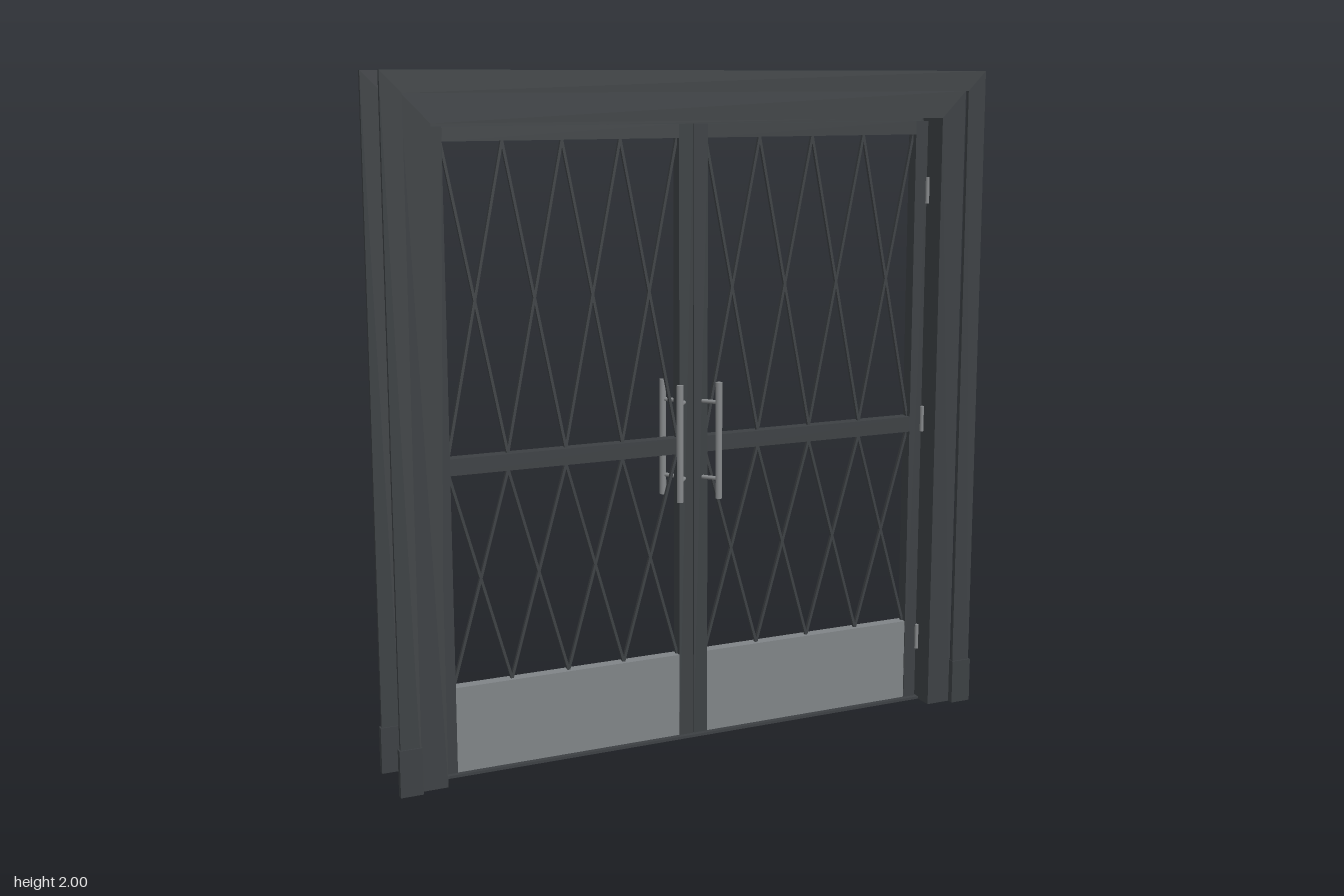
import * as THREE from 'three';

const DARK = new THREE.MeshStandardMaterial({ color: 0x3c4043 });
const STEEL = new THREE.MeshStandardMaterial({ color: 0x85888a });
const PANEL = new THREE.MeshStandardMaterial({ color: 0x808487 });

function add(parent, name, geometry, material) {
  const mesh = new THREE.Mesh(geometry, material);
  mesh.name = name;
  parent.add(mesh);
  return mesh;
}

// Box given by its extents
function box(parent, name, [x0, x1], [y0, y1], [z0, z1], material = DARK) {
  const mesh = add(parent, name, new THREE.BoxGeometry(Math.abs(x1 - x0), y1 - y0, z1 - z0), material);
  mesh.position.set((x0 + x1) / 2, (y0 + y1) / 2, (z0 + z1) / 2);
  return mesh;
}

// Three-sided door surround, open at the floor
function portal(parent, name, outerX, outerY, innerX, innerY, z0, z1) {
  const shape = new THREE.Shape([
    [-outerX, 0], [-innerX, 0], [-innerX, innerY], [innerX, innerY],
    [innerX, 0], [outerX, 0], [outerX, outerY], [-outerX, outerY],
  ].map(([x, y]) => new THREE.Vector2(x, y)));
  const geometry = new THREE.ExtrudeGeometry(shape, { depth: z1 - z0, bevelEnabled: false });
  geometry.translate(0, 0, z0);
  return add(parent, name, geometry, DARK);
}

// Round rod between two points
function rod(parent, name, a, b, radius) {
  const from = new THREE.Vector3(...a), to = new THREE.Vector3(...b);
  const dir = to.clone().sub(from);
  const mesh = add(parent, name, new THREE.CylinderGeometry(radius, radius, dir.length(), 16), STEEL);
  mesh.position.copy(from).add(to).multiplyScalar(0.5);
  mesh.quaternion.setFromUnitVectors(new THREE.Vector3(0, 1, 0), dir.normalize());
}

// Row of crossed glazing bars, one X per column
function lattice(parent, x0, x1, y0, y1, columns = 4) {
  const w = (x1 - x0) / columns, h = y1 - y0;
  for (let i = 0; i < columns; i++) {
    for (const s of [-1, 1]) {
      const bar = add(parent, 'latticeBar', new THREE.BoxGeometry(0.008, Math.hypot(w, h), 0.01), DARK);
      bar.position.set(x0 + (i + 0.5) * w, (y0 + y1) / 2, 0);
      bar.rotation.z = s * Math.atan2(w, h);
    }
  }
}

// Pull handle with two angled standoffs; side gives the leaf, face the front or back
function handle(parent, side, face) {
  const group = new THREE.Group();
  group.name = 'pullHandle';
  const x = side * 0.063, z = face * 0.062;
  rod(group, 'handleBar', [x, 0.75, z], [x, 1.1, z], 0.01);
  for (const y of [0.81, 1.04]) {
    rod(group, 'handleStandoff', [x, y, z], [side * 0.03, y, face * 0.018], 0.006);
  }
  parent.add(group);
}

function doorLeaf(side) {
  const leaf = new THREE.Group();
  leaf.name = side > 0 ? 'leftDoor' : 'rightDoor';
  const depth = [-0.02, 0.02];
  const inner = 0.046, outer = 0.75;
  const span = [side * inner, side * outer];
  box(leaf, 'meetingStile', [side * 0.001, side * inner], [0.01, 1.85], depth);
  box(leaf, 'hingeStile', [side * outer, side * 0.792], [0.01, 1.85], depth);
  box(leaf, 'topRail', span, [1.81, 1.85], depth);
  box(leaf, 'middleRail', span, [0.886, 0.934], depth);
  box(leaf, 'kickPanel', span, [0.01, 0.265], [-0.018, 0.018], PANEL);
  const [x0, x1] = side > 0 ? [inner, outer] : [-outer, -inner];
  lattice(leaf, x0, x1, 0.934, 1.81);
  lattice(leaf, x0, x1, 0.265, 0.886);
  for (const face of [-1, 1]) handle(leaf, side, face);
  // Hinge knuckles on the front edge
  for (const y of [0.21, 0.925, 1.64]) {
    rod(leaf, 'hinge', [side * 0.793, y - 0.04, 0.023], [side * 0.793, y + 0.04, 0.023], 0.006);
  }
  return leaf;
}

export function createModel() {
  const model = new THREE.Group();
  model.name = 'doubleDoor';

  // Jamb, door stop and threshold
  portal(model, 'jamb', 0.88, 1.94, 0.8, 1.86, -0.088, 0.088);
  portal(model, 'doorStop', 0.8, 1.86, 0.785, 1.845, -0.034, -0.021);
  box(model, 'threshold', [-0.8, 0.8], [0, 0.008], [-0.03, 0.03]);

  // Casing frame and plinth blocks on both faces
  for (const face of [-1, 1]) {
    const z = face > 0 ? [0.092, 0.103] : [-0.103, -0.092];
    portal(model, 'casing', 0.94, 2, 0.88, 1.94, ...z);
    const pz = face > 0 ? [0.088, 0.108] : [-0.108, -0.088];
    for (const side of [-1, 1]) {
      box(model, 'plinthBlock', [side * 0.878, side * 0.944], [0, 0.138], pz);
    }
  }

  for (const side of [-1, 1]) model.add(doorLeaf(side));
  return model;
}
